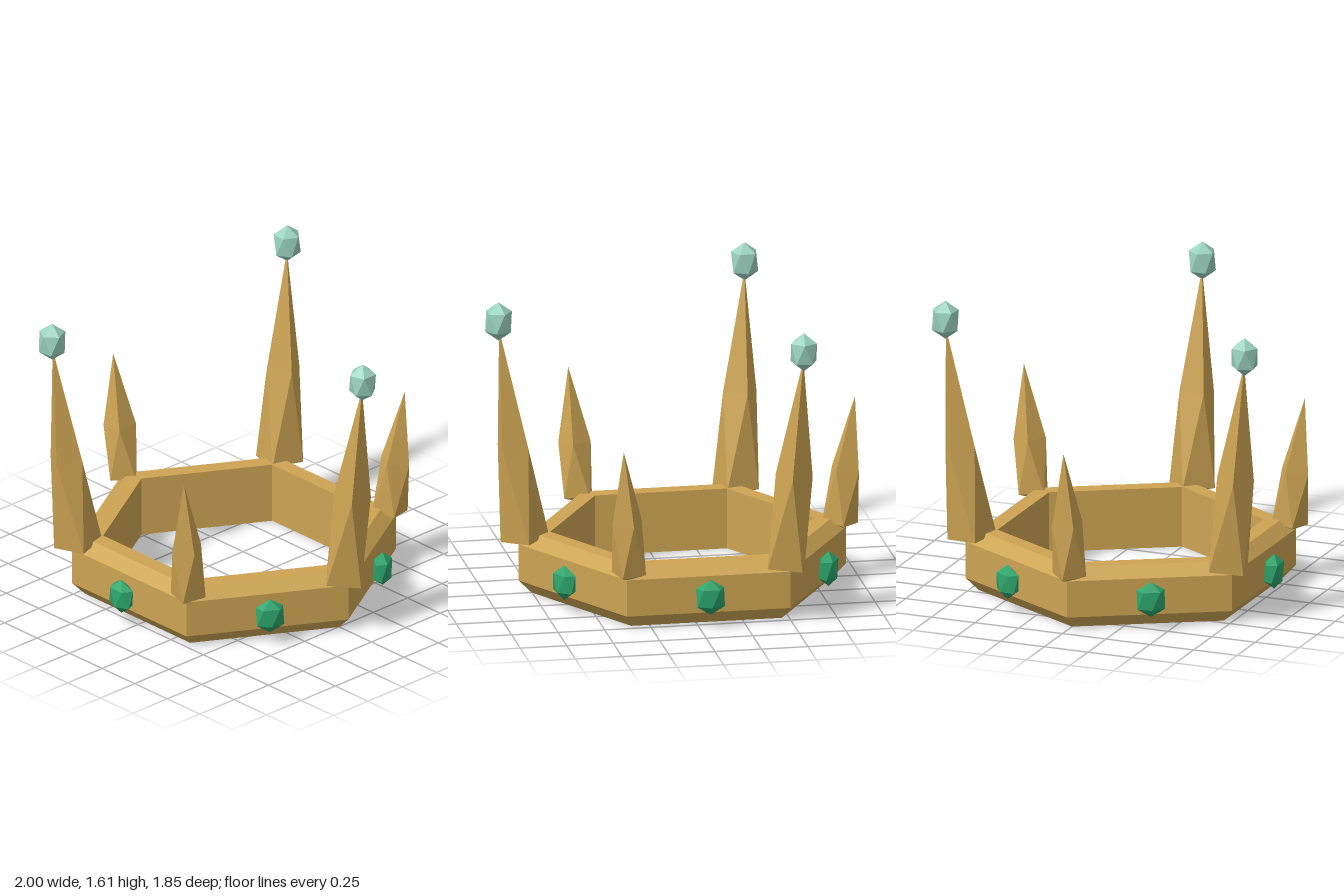
import * as THREE from 'three';

const CENTRE_X = -0.057;
const GEM_SIDES = 5, SPIKE_SIDES = 4;

// Faceted crystal: bottom point, lower ring, upper ring turned half a step, top point.
// Rings are { x, y, r, rz, lean }; the lean drops the outer (+x) side.
function crystal(sides, bottom, lower, upper, top) {
  const ring = ({ x, y, r, rz = r, lean = 0 }, turn) =>
    Array.from({ length: sides }, (_, i) => {
      const a = ((i + turn) / sides) * Math.PI * 2;
      return new THREE.Vector3(x + r * Math.cos(a), y - lean * r * Math.cos(a), rz * Math.sin(a));
    });
  const lo = ring(lower, 0), hi = ring(upper, 0.5);
  const b = new THREE.Vector3(...bottom, 0), t = new THREE.Vector3(...top, 0);
  const points = [];
  for (let i = 0; i < sides; i++) {
    const j = (i + 1) % sides;
    points.push(b, lo[i], lo[j], lo[j], lo[i], hi[i], lo[j], hi[i], hi[j], t, hi[j], hi[i]);
  }
  const geometry = new THREE.BufferGeometry().setFromPoints(points);
  geometry.computeVertexNormals();
  return geometry;
}

// Twenty-sided gem around (x, y), with half sizes in each direction
function gem(x, y, rx, ry, rz) {
  const h = ry * 0.5;
  return crystal(GEM_SIDES, [x, y - ry], { x, y: y - h, r: rx, rz }, { x, y: y + h, r: rx, rz }, [x, y + ry]);
}

export function createModel() {
  const gold = new THREE.MeshStandardMaterial({ color: 0xcda453 });
  gold.name = 'gold';
  const emerald = new THREE.MeshStandardMaterial({ color: 0x2ca56c });
  emerald.name = 'emerald';
  const mint = new THREE.MeshStandardMaterial({ color: 0x9bd3c0 });
  mint.name = 'paleMint';

  const crown = new THREE.Group();
  crown.name = 'crown';
  crown.position.x = CENTRE_X;

  const add = (name, geometry, material, angle = 0) => {
    const mesh = new THREE.Mesh(geometry, material);
    mesh.name = name;
    mesh.rotation.y = angle;
    crown.add(mesh);
  };

  // Six-sided band with bevelled outer edges
  const profile = [[0.81, 0], [0.88, 0.07], [0.88, 0.27], [0.81, 0.33], [0.71, 0.33], [0.71, 0], [0.81, 0]]
    .map(([x, y]) => new THREE.Vector2(x, y));
  const band = new THREE.LatheGeometry(profile, 6, Math.PI / 2).toNonIndexed();
  band.computeVertexNormals();
  add('band', band, gold);

  // Spikes leaning outward from the corners
  const tallSpike = crystal(SPIKE_SIDES, [0.842, 0.265],
    { x: 0.847, y: 0.3, r: 0.13, lean: 0.1 },
    { x: 0.91, y: 0.81, r: 0.098, lean: 0.1 }, [0.985, 1.46]);
  const shortSpike = crystal(SPIKE_SIDES, [0.86, 0.265],
    { x: 0.848, y: 0.3, r: 0.096, lean: 0.1 },
    { x: 0.877, y: 0.59, r: 0.086, lean: 0.1 }, [0.928, 0.99]);
  const tipGem = gem(0.988, 1.505, 0.072, 0.105, 0.072);
  const sideGem = gem(0.82, 0.17, 0.048, 0.096, 0.078);

  for (let i = 0; i < 6; i++) {
    const corner = (i * Math.PI) / 3;
    if (i % 2 === 0) {
      add('tallSpike', tallSpike, gold, corner);
      add('tipGem', tipGem, mint, corner);
    } else {
      add('shortSpike', shortSpike, gold, corner);
    }
    // Gem floating in front of each side of the band
    add('sideGem', sideGem, emerald, corner + Math.PI / 6);
  }

  const model = new THREE.Group();
  model.name = 'model';
  model.add(crown);
  return model;
}
